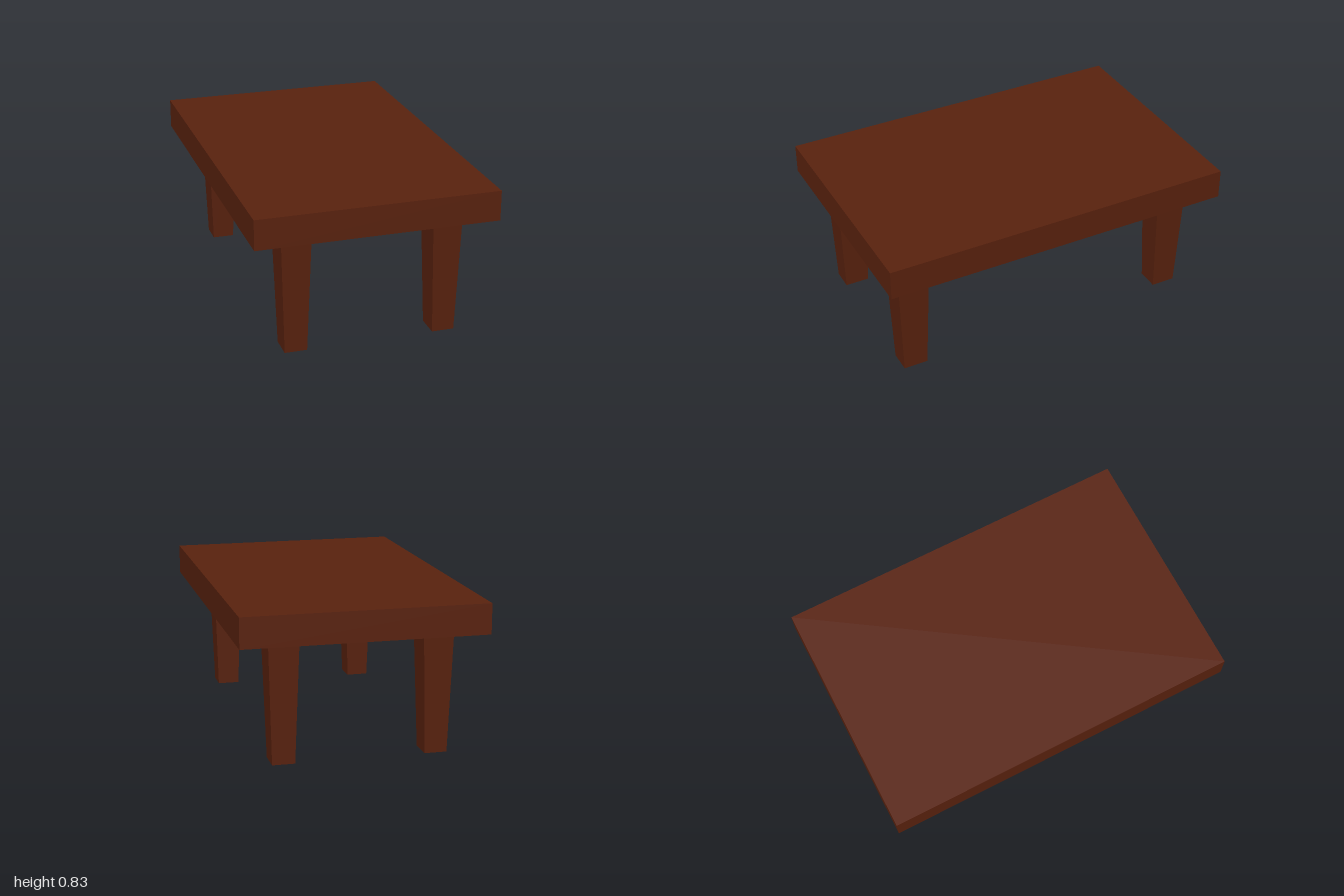
import * as THREE from 'three';

const TOP = { width: 1.333, depth: 2, bottom: 0.667, height: 0.167 };
const LEG = { x: 0.416, z: 0.802, width: 0.165, depth: 0.183, footScale: 0.75 };

// Square-cut leg, narrowing towards the foot
function taperedLegGeometry() {
  const geometry = new THREE.BoxGeometry(LEG.width, TOP.bottom, LEG.depth);
  geometry.translate(0, TOP.bottom / 2, 0);
  const pos = geometry.attributes.position;
  for (let i = 0; i < pos.count; i++) {
    if (pos.getY(i) < 0.01) {
      pos.setX(i, pos.getX(i) * LEG.footScale);
      pos.setZ(i, pos.getZ(i) * LEG.footScale);
    }
  }
  geometry.computeVertexNormals();
  return geometry;
}

export function createModel() {
  const table = new THREE.Group();
  table.name = 'table';

  const darkWood = new THREE.MeshStandardMaterial({ color: 0x5a220e });
  darkWood.name = 'darkWood';

  // Thick slab top
  const top = new THREE.Mesh(new THREE.BoxGeometry(TOP.width, TOP.height, TOP.depth), darkWood);
  top.name = 'tableTop';
  top.position.y = TOP.bottom + TOP.height / 2;
  table.add(top);

  // Four legs, mirrored across both axes
  const legGeometry = taperedLegGeometry();
  for (const [end, sz] of [['front', 1], ['back', -1]]) {
    for (const [side, sx] of [['Left', 1], ['Right', -1]]) {
      const leg = new THREE.Mesh(legGeometry, darkWood);
      leg.name = `${end}${side}Leg`;
      leg.position.set(sx * LEG.x, 0, sz * LEG.z);
      table.add(leg);
    }
  }

  return table;
}
